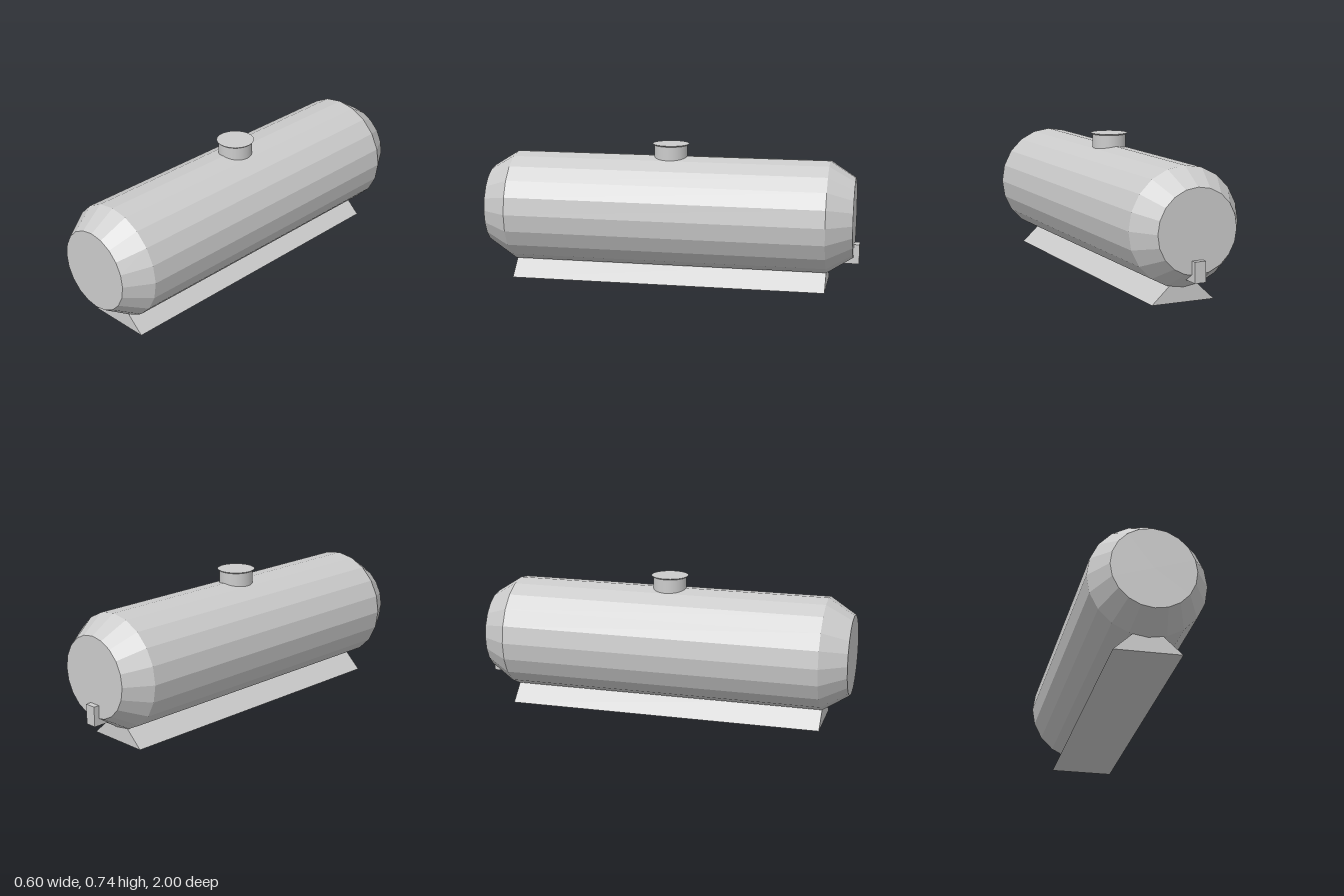
import * as THREE from 'three';

export function createModel() {
  const model = new THREE.Group();
  const flat = new THREE.MeshStandardMaterial({ color: 0xcccccc, flatShading: true });
  const smooth = new THREE.MeshStandardMaterial({ color: 0xcccccc });
  const midZ = 0.014;

  const add = (name, geometry, material, x, y, z) => {
    const mesh = new THREE.Mesh(geometry, material);
    mesh.name = name;
    mesh.position.set(x, y, z);
    model.add(mesh);
    return mesh;
  };

  // Twenty-sided tank with chamfered, flat ends, lying along z
  const tankProfile = [[0, -0.97], [0.212, -0.97], [0.298, -0.835], [0.298, 0.863], [0.212, 1], [0, 1]]
    .map(([r, h]) => new THREE.Vector2(r, h));
  const tank = new THREE.LatheGeometry(tankProfile, 20).rotateX(Math.PI / 2);
  add('tank', tank, flat, 0, 0.374, 0);

  // Wedge-shaped base running under the straight part of the tank
  const section = new THREE.Shape([[-0.17, 0], [0.17, 0], [0.04, 0.12], [-0.04, 0.12]]
    .map(([x, y]) => new THREE.Vector2(x, y)));
  const base = new THREE.ExtrudeGeometry(section, { depth: 1.693, bevelEnabled: false });
  add('base', base, flat, 0, 0, -0.832);

  // Round filler neck on top
  add('fillerNeck', new THREE.CylinderGeometry(0.088, 0.088, 0.133, 48), smooth, 0, 0.6665, midZ);

  // Thin flared lid
  add('lid', new THREE.CylinderGeometry(0.098, 0.089, 0.007, 48), smooth, 0, 0.7345, midZ);

  // Outlet block low on the back end
  add('outlet', new THREE.BoxGeometry(0.06, 0.104, 0.12), flat, 0, 0.183, -0.94);

  return model;
}
